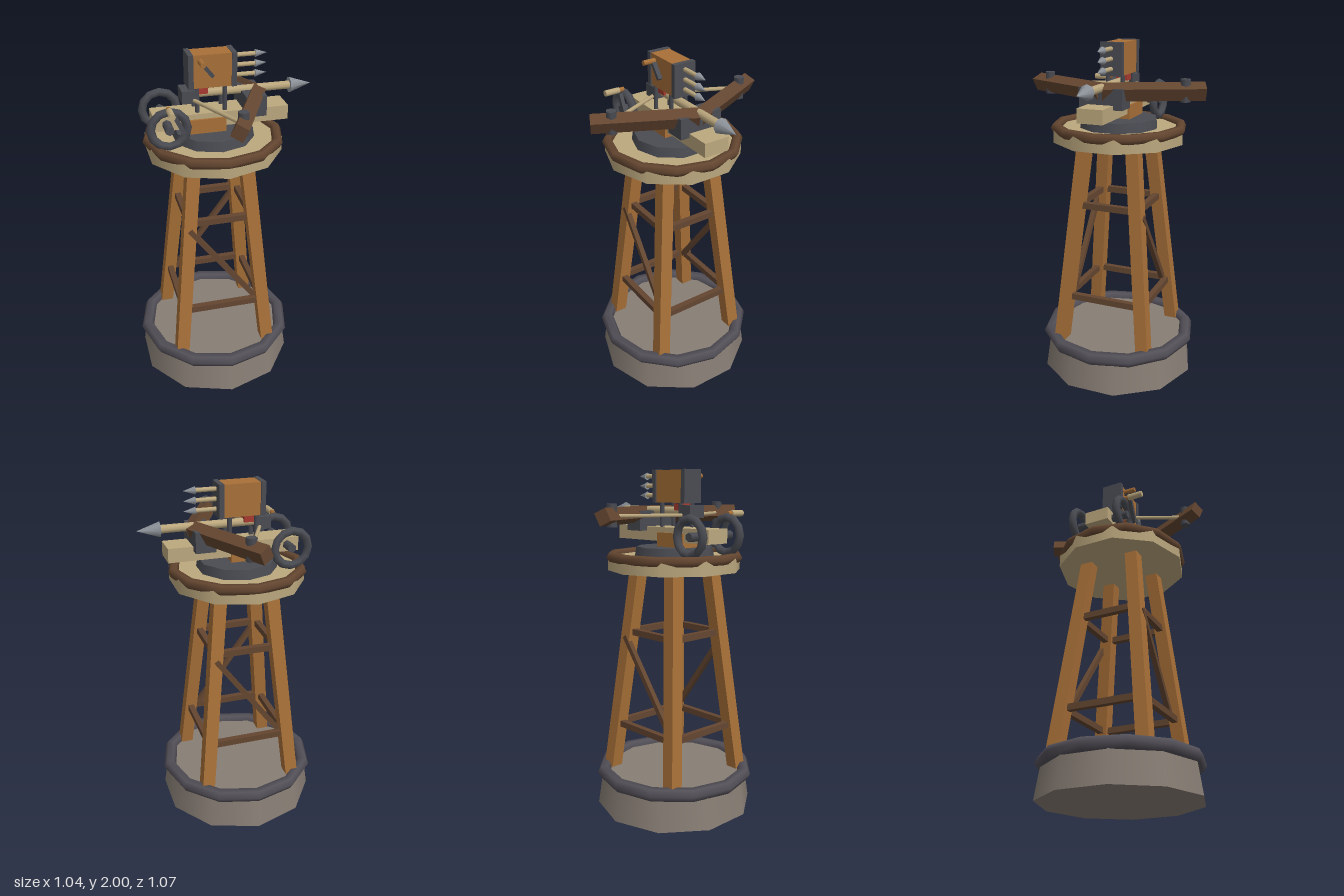
import * as THREE from 'three';

const mat = (color) => new THREE.MeshStandardMaterial({ color });
const WOOD = mat(0xa87038), BROWN = mat(0x644630), TAN = mat(0xbca87e), DARK = mat(0x4a4c53);
const STONE = mat(0x877d74), RIM = mat(0x524f57), STEEL = mat(0x8c9198), RED = mat(0xa83a30);
const CX = -0.045; // tower axis

export function createModel() {
  const model = new THREE.Group();

  const add = (name, geo, material, x = 0, y = 0, z = 0) => {
    const m = new THREE.Mesh(geo, material);
    m.name = name;
    m.position.set(x, y, z);
    model.add(m);
    return m;
  };
  // Box given by its min and max corners
  const box = (name, material, [x0, x1], [y0, y1], [z0, z1]) =>
    add(name, new THREE.BoxGeometry(x1 - x0, y1 - y0, z1 - z0), material, (x0 + x1) / 2, (y0 + y1) / 2, (z0 + z1) / 2);
  // Upright drum between two heights
  const drum = (name, material, rTop, rBottom, y0, y1, sides = 10, x = CX, z = 0) =>
    add(name, new THREE.CylinderGeometry(rTop, rBottom, y1 - y0, sides), material, x, (y0 + y1) / 2, z);
  // Lay a y-aligned geometry between two points
  const between = (name, material, a, b, makeGeo) => {
    const p = new THREE.Vector3(...a), q = new THREE.Vector3(...b);
    const d = q.clone().sub(p);
    const m = add(name, makeGeo(d.length()), material);
    m.position.copy(p).add(q).multiplyScalar(0.5);
    m.quaternion.setFromUnitVectors(new THREE.Vector3(0, 1, 0), d.normalize());
    return m;
  };
  const rod = (name, material, a, b, r, r2 = r, sides = 8) =>
    between(name, material, a, b, (l) => new THREE.CylinderGeometry(r2, r, l, sides));
  const bar = (name, material, a, b, w, d) =>
    between(name, material, a, b, (l) => new THREE.BoxGeometry(w, l, d));
  const ring = (name, material, R, t, y) => {
    add(name, new THREE.TorusGeometry(R, t, 6, 12), material, CX, y).rotation.x = Math.PI / 2;
  };

  // Stone foot and its rim
  drum('foundation', STONE, 0.437, 0.47, 0, 0.22);
  ring('foundationRim', RIM, 0.435, 0.04, 0.215);

  // Four legs leaning inward
  const lean = (y) => 0.27 - (y - 0.2) * 0.0983;
  for (const sx of [-1, 1]) for (const sz of [-1, 1]) {
    const geo = new THREE.BoxGeometry(0.075, 1.25, 0.075);
    const p = geo.attributes.position;
    for (let i = 0; i < p.count; i++) {
      const off = lean(p.getY(i) + 0.825);
      p.setX(i, p.getX(i) + sx * off);
      p.setZ(i, p.getZ(i) + sz * off);
    }
    geo.computeVertexNormals();
    add('leg', geo, WOOD, CX, 0.825, 0);
  }

  // Horizontal braces on all sides, one diagonal on front and back
  for (const y of [0.497, 1.067]) {
    const r = lean(y);
    for (const s of [-1, 1]) {
      add('crossBrace', new THREE.BoxGeometry(2 * r, 0.037, 0.035), BROWN, CX, y, s * r);
      add('crossBrace', new THREE.BoxGeometry(0.035, 0.037, 2 * r), BROWN, CX + s * r, y, 0);
    }
  }
  for (const s of [-1, 1])
    bar('diagonalBrace', BROWN, [CX - s * 0.19, 1.04, s * 0.217], [CX + s * 0.2, 0.51, s * 0.217], 0.03, 0.03);

  // Platform and turntable
  drum('platform', TAN, 0.387, 0.387, 1.435, 1.515);
  ring('platformRim', BROWN, 0.368, 0.03, 1.514);
  drum('turntable', DARK, 0.222, 0.232, 1.51, 1.57);

  // Weapon bed
  box('pedestal', WOOD, [-0.2, 0.012], [1.56, 1.65], [-0.087, 0.087]);
  box('bed', TAN, [-0.386, 0.366], [1.6, 1.68], [-0.075, 0.075]);
  box('bowMount', DARK, [0.11, 0.225], [1.655, 1.77], [-0.128, 0.128]);

  // Bow arms, their bolts and the string
  for (const s of [-1, 1]) {
    bar('bowArm', BROWN, [-0.035, 1.748, s * 0.512], [0.208, 1.748, s * 0.004], 0.072, 0.075);
    drum('armBolt', DARK, 0.03, 0.03, 1.69, 1.815, 6, 0.012, s * 0.412);
    rod('bowString', TAN, [0.005, 1.75, s * 0.4], [-0.165, 1.75, s * 0.04], 0.011, 0.011, 6);
  }

  // Winch: two wheels on one axle, with crank and grip
  rod('winchAxle', DARK, [-0.317, 1.64, -0.155], [-0.317, 1.64, 0.175], 0.025, 0.025, 6);
  for (const s of [-1, 1])
    add('winchWheel', new THREE.TorusGeometry(0.099, 0.024, 6, 12), DARK, -0.317, 1.64, s * 0.146);
  bar('crankArm', DARK, [-0.3, 1.745, 0.183], [-0.243, 1.625, 0.183], 0.024, 0.022);
  rod('crankPin', WOOD, [-0.318, 1.758, 0.15], [-0.318, 1.758, 0.19], 0.014);
  rod('crankGrip', TAN, [-0.318, 1.758, 0.18], [-0.318, 1.758, 0.268], 0.018);

  // Trigger housing
  box('stringBlock', DARK, [-0.226, -0.14], [1.735, 1.805], [-0.056, 0.056]);
  box('triggerBlock', RED, [-0.14, -0.078], [1.775, 1.812], [-0.035, 0.035]);

  // Steel-tipped bolts pointing along +x
  const dart = (name, y, x0, x1, x2, r, rTip) => {
    rod(name + 'Shaft', TAN, [x0, y, 0], [x1, y, 0], r);
    rod(name + 'Tip', STEEL, [x1, y, 0], [x2, y, 0], rTip, 0);
  };
  dart('mainBolt', 1.77, -0.15, 0.39, 0.518, 0.024, 0.044);

  // Magazine on posts, with loaded bolts
  for (const x of [-0.142, 0.012]) for (const s of [-1, 1])
    drum('magazinePost', DARK, 0.013, 0.013, 1.675, 1.83, 6, x, s * 0.045);
  box('magazine', WOOD, [-0.165, 0.05], [1.817, 1.997], [-0.058, 0.058]);
  box('magazineBackPlate', DARK, [-0.19, -0.162], [1.815, 2], [-0.065, 0.065]);
  box('magazineFrontPlate', DARK, [0.046, 0.074], [1.815, 2], [-0.065, 0.065]);
  for (const y of [1.855, 1.91, 1.965]) dart('spareBolt', y, 0.04, 0.19, 0.257, 0.013, 0.022);

  // Magazine lever
  bar('leverArm', DARK, [-0.132, 1.972, 0.07], [-0.06, 1.882, 0.07], 0.02, 0.026);
  rod('leverGrip', WOOD, [-0.125, 1.965, 0.06], [-0.125, 1.965, 0.132], 0.015);

  return model;
}
